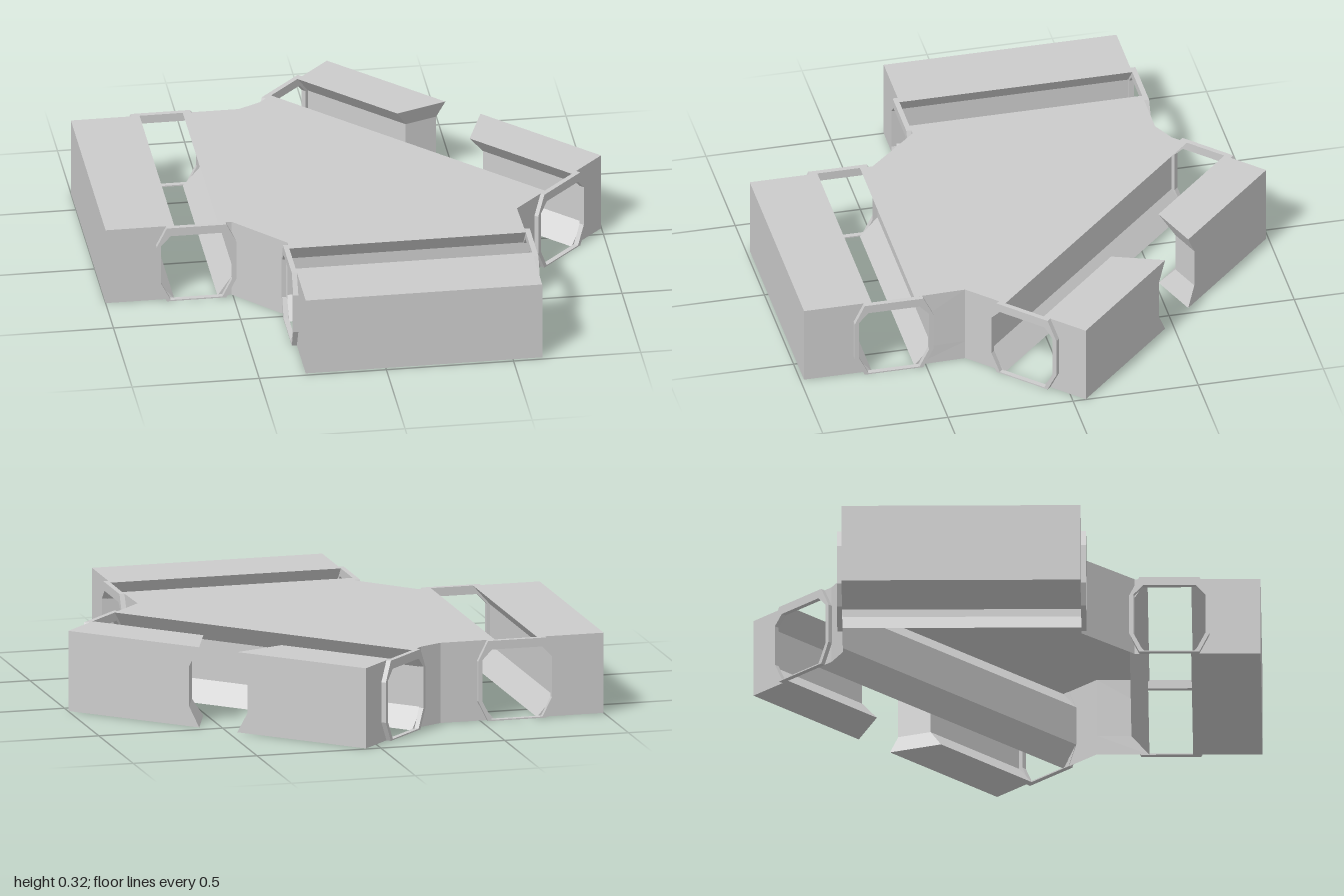
import * as THREE from 'three';

const H = 0.32, HI = 0.24, LO = 0.08; // full height and the two chamfer levels
const BULGE = 0.07;                   // how far the tunnel widens at mid height

const material = new THREE.MeshStandardMaterial({
  color: 0xcccccc, flatShading: true, side: THREE.DoubleSide,
});

function named(geometry, name) {
  const mesh = new THREE.Mesh(geometry, material);
  mesh.name = name;
  return mesh;
}

// Geometry from a list of four-cornered faces, counter-clockwise from outside
function fromQuads(quads) {
  const pos = [];
  for (const [a, b, c, d] of quads) for (const p of [a, b, c, a, c, d]) pos.push(...p);
  const g = new THREE.BufferGeometry();
  g.setAttribute('position', new THREE.Float32BufferAttribute(pos, 3));
  g.computeVertexNormals();
  return g;
}

// Outer block beside a tunnel: a C-shaped section swept along x.
// endA and endB give the x of each of the eight section points.
function outerBlock(slot, outer, endA, endB) {
  const mid = slot + BULGE;
  const section = [
    [outer, H], [outer, HI], [outer, LO], [outer, 0],
    [slot, 0], [mid, LO], [mid, HI], [slot, H],
  ];
  const A = section.map(([z, y], i) => [endA[i], y, z]);
  const B = section.map(([z, y], i) => [endB[i], y, z]);
  const quads = [];
  for (let i = 0; i < 8; i++) {
    const j = (i + 1) % 8;
    quads.push([A[j], B[j], B[i], A[i]]);
  }
  for (let i = 0; i < 3; i++) {
    quads.push([A[6 - i], A[i + 1], A[i], A[7 - i]]);
    quads.push([B[7 - i], B[i], B[i + 1], B[6 - i]]);
  }
  return named(fromQuads(quads), 'outerBlock');
}

// Octagon with separate chamfer heights at top and bottom
function octagon(half, y0, y1, cx, cBottom, cTop) {
  return [
    [-half + cx, y0], [half - cx, y0], [half, y0 + cBottom], [half, y1 - cTop],
    [half - cx, y1], [-half + cx, y1], [-half, y1 - cTop], [-half, y0 + cBottom],
  ].map(([x, y]) => new THREE.Vector2(x, y));
}

// Thin octagonal rim around a tunnel mouth
function tunnelRim(x, z) {
  const shape = new THREE.Shape(octagon(0.157, 0, H, 0.04, 0.08, 0.08));
  shape.holes.push(new THREE.Path(octagon(0.14, 0.005, 0.285, 0.038, 0.075, 0.04)));
  const g = new THREE.ExtrudeGeometry(shape, { depth: 0.02, bevelEnabled: false });
  g.rotateY(Math.PI / 2);
  g.translate(x, 0, z);
  return named(g, 'tunnelRim');
}

// One wing: its tunnel runs along local x, its outer side faces local +z
function wing(name, angle, x0, x1, slotIn, slotOut, outer, gate) {
  const group = new THREE.Group();
  group.name = name;
  const start = Array(8).fill(x0), end = Array(8).fill(x1);
  if (gate) {
    group.add(outerBlock(slotOut, outer, start, gate.map((g) => -g)));
    group.add(outerBlock(slotOut, outer, gate, end));
  } else {
    group.add(outerBlock(slotOut, outer, start, end));
  }
  const centre = (slotIn + slotOut) / 2;
  group.add(tunnelRim(x0 - 0.02, centre), tunnelRim(x1, centre));
  group.rotation.y = angle;
  return group;
}

// Central hub: flat roof, open underneath, walls shaped by the tunnels
function hub() {
  const d = BULGE * Math.SQRT1_2;
  // x, z, and the inward shift at mid height where a tunnel passes
  const outline = [
    [-0.56, -0.64, BULGE, 0], [-0.34, -0.64, 0, 0], [-0.25, -0.685, 0, 0],
    [-0.2, -0.735, -d, d], [0.74, 0.21, -d, d],
    [0.61, 0.34, 0, 0], [0.615, 0.545, 0, -BULGE],
    [-0.315, 0.545, 0, -BULGE], [-0.315, 0.495, 0, 0],
    [-0.505, 0.29, 0, 0], [-0.56, 0.29, BULGE, 0],
  ];
  const columns = outline.map(([x, z, dx, dz]) => [
    [x, 0, z], [x + dx, LO, z + dz], [x + dx, HI, z + dz], [x, H, z],
  ]);
  const quads = [];
  columns.forEach((p, i) => {
    const q = columns[(i + 1) % columns.length];
    for (let k = 0; k < 3; k++) quads.push([q[k], p[k], p[k + 1], q[k + 1]]);
  });
  const roof = new THREE.ShapeGeometry(
    new THREE.Shape(outline.map(([x, z]) => new THREE.Vector2(x, -z))));
  roof.rotateX(-Math.PI / 2);
  roof.translate(0, H, 0);

  const group = new THREE.Group();
  group.name = 'hub';
  group.add(named(roof, 'hubRoof'), named(fromQuads(quads), 'hubWalls'));
  return group;
}

export function createModel() {
  const model = new THREE.Group();
  model.name = 'threeWingStation';
  // Half widths of the flared octagonal gate at each section point
  const gate = [0.085, 0.13, 0.13, 0.085, 0.175, 0.187, 0.187, 0.175];
  model.add(
    hub(),
    wing('frontWing', 0, -0.315, 0.615, 0.545, 0.715, 0.985),
    wing('rightWing', -Math.PI / 2, -0.64, 0.29, 0.56, 0.73, 1.0),
    wing('gateWing', Math.PI * 0.75, -0.67, 0.66, 0.375, 0.55, 0.742, gate),
  );
  return model;
}
